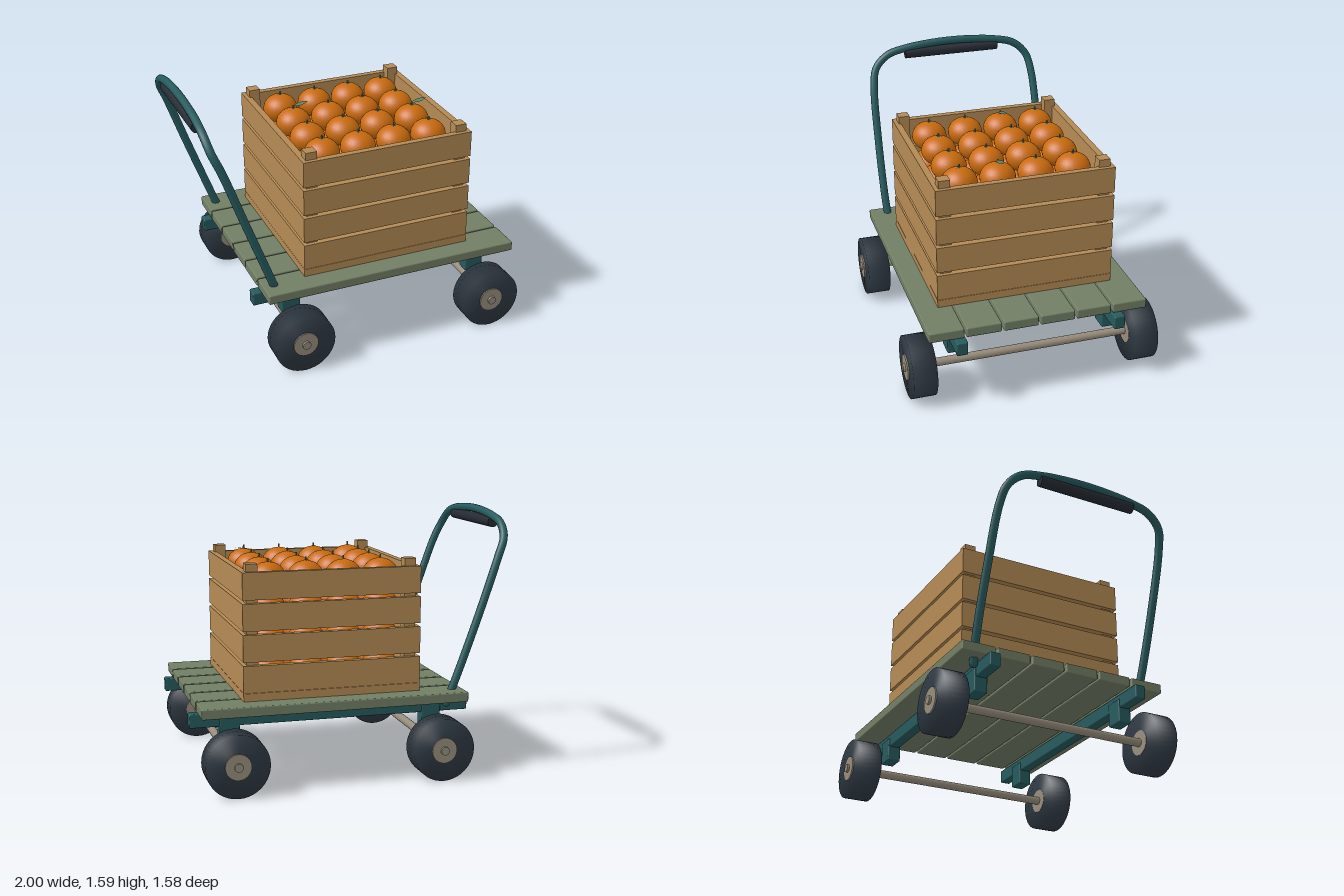
import * as THREE from 'three';
import { RoundedBoxGeometry } from 'three/addons/geometries/RoundedBoxGeometry.js';

const mat = (name, color, side = THREE.FrontSide) => {
  const m = new THREE.MeshStandardMaterial({ color, side });
  m.name = name;
  return m;
};

export function createModel() {
  const model = new THREE.Group();
  model.name = 'fruitCart';

  const wood = mat('crate wood', 0xb48a54);
  const deckPaint = mat('sage deck', 0x727e65);
  const teal = mat('teal frame', 0x265a5e);
  const rubber = mat('tyre rubber', 0x2d3741);
  const gripRubber = mat('grip rubber', 0x262b33);
  const steel = mat('axle steel', 0x978c7c);
  const peel = mat('orange peel', 0xc96b0e);
  const green = mat('leaf green', 0x5f7f68, THREE.DoubleSide);

  const group = (name, parent = model) => {
    const g = new THREE.Group();
    g.name = name;
    parent.add(g);
    return g;
  };
  const add = (parent, name, geo, material, x = 0, y = 0, z = 0) => {
    const m = new THREE.Mesh(geo, material);
    m.name = name;
    m.position.set(x, y, z);
    parent.add(m);
    return m;
  };
  // box given by its minimum and maximum on each axis
  const box = (parent, name, material, [x0, x1], [y0, y1], [z0, z1], round = 0) => {
    const s = [x1 - x0, y1 - y0, z1 - z0];
    const geo = round ? new RoundedBoxGeometry(...s, 2, round) : new THREE.BoxGeometry(...s);
    return add(parent, name, geo, material, (x0 + x1) / 2, (y0 + y1) / 2, (z0 + z1) / 2);
  };
  const mirrored = (s, a, b) => (s > 0 ? [a, b] : [-b, -a]);

  // Deck planks running lengthwise
  const deck = group('deck');
  for (let i = 0; i < 6; i++) {
    const z = (i - 2.5) * 0.2255;
    box(deck, 'plank', deckPaint, [-0.685, 0.945], [0.457, 0.518], [z - 0.106, z + 0.106], 0.008);
  }

  // Frame rails with an axle bracket above each wheel
  const axleXs = [-0.497, 0.757];
  const frame = group('frame');
  for (const s of [-1, 1]) {
    box(frame, 'rail', teal, [-0.735, 0.995], [0.372, 0.457], mirrored(s, 0.45, 0.518), 0.008);
    for (const x of axleXs)
      box(frame, 'axleBracket', teal, [x - 0.06, x + 0.06], [0.28, 0.428], mirrored(s, 0.443, 0.527), 0.008);
  }

  // Axles, tyres and hubs
  const axleY = 0.194;
  const tyreGeo = new THREE.LatheGeometry(
    [[0, -0.0725], [0.19, -0.0725], [0.19, 0.0725], [0, 0.0725]].map(p => new THREE.Vector2(...p)), 40);
  const hubGeo = new THREE.CylinderGeometry(0.078, 0.078, 0.156, 24);
  const axleGeo = new THREE.CylinderGeometry(0.026, 0.026, 1.576, 16);
  for (const x of axleXs) {
    const wheels = group('axleWithWheels');
    wheels.position.set(x, axleY, 0);
    add(wheels, 'axle', axleGeo, steel).rotation.x = Math.PI / 2;
    for (const s of [-1, 1]) {
      add(wheels, 'tyre', tyreGeo, rubber, 0, 0, s * 0.6925).rotation.x = Math.PI / 2;
      add(wheels, 'hub', hubGeo, steel, 0, 0, s * 0.696).rotation.x = Math.PI / 2;
    }
  }

  // Push handle: half path mirrored across the middle
  const half = [
    [-0.585, 0.43, 0.55], [-0.64, 0.58, 0.562], [-0.785, 0.98, 0.565], [-0.905, 1.32, 0.553],
    [-0.95, 1.43, 0.525], [-0.966, 1.51, 0.44], [-0.966, 1.548, 0.3], [-0.966, 1.566, 0.13],
  ].map(p => new THREE.Vector3(...p));
  const path = new THREE.CatmullRomCurve3([
    ...half, new THREE.Vector3(-0.966, 1.57, 0),
    ...half.map(p => new THREE.Vector3(p.x, p.y, -p.z)).reverse(),
  ]);
  const handle = group('handle');
  add(handle, 'handleTube', new THREE.TubeGeometry(path, 120, 0.025, 14), teal);
  for (const p of [half[0], path.getPoint(1)])
    add(handle, 'tubeEnd', new THREE.SphereGeometry(0.025, 14, 10), teal, p.x, p.y, p.z);
  add(handle, 'grip', new THREE.CylinderGeometry(0.034, 0.034, 0.64, 20), gripRubber, -0.966, 1.509, 0)
    .rotation.x = Math.PI / 2;

  // Slatted crate: floor, four slats per side and corner posts
  const crate = group('crate');
  crate.position.x = 0.131;
  const hw = 0.545, thick = 0.04;
  box(crate, 'crateFloor', wood, [-hw, hw], [0.518, 0.566], [-hw, hw]);
  for (const s of [-1, 1]) {
    for (let i = 0; i < 4; i++) {
      const y = 0.568 + i * 0.1835;
      box(crate, 'longSlat', wood, [-hw, hw], [y, y + 0.162], mirrored(s, hw - thick, hw));
      box(crate, 'endSlat', wood, mirrored(s, hw - thick, hw), [y, y + 0.162], [thick - hw, hw - thick]);
    }
    for (const t of [-1, 1])
      box(crate, 'cornerPost', wood, mirrored(s, 0.45, 0.52), [0.566, 1.327], mirrored(t, 0.45, 0.52));
  }

  // Stacked oranges, slightly flattened
  const fruit = group('oranges', crate);
  const orangeGeo = new THREE.SphereGeometry(0.108, 24, 16).scale(1, 0.84, 1);
  const stemGeo = new THREE.CylinderGeometry(0.005, 0.006, 0.026, 6);
  // five-pointed calyx
  const star = new THREE.Shape(Array.from({ length: 10 }, (_, i) => {
    const r = i % 2 ? 0.008 : 0.023, a = i * Math.PI / 5;
    return new THREE.Vector2(r * Math.cos(a), r * Math.sin(a));
  }));
  const starGeo = new THREE.ShapeGeometry(star).rotateX(-Math.PI / 2);
  // pointed leaf, rising slightly towards its tip
  const leafShape = new THREE.Shape();
  leafShape.moveTo(0, 0);
  leafShape.quadraticCurveTo(0.045, 0.045, 0.1, 0);
  leafShape.quadraticCurveTo(0.045, -0.045, 0, 0);
  const leafGeo = new THREE.ShapeGeometry(leafShape, 6).rotateX(-Math.PI / 2).rotateZ(0.18);

  const step = 0.2335;
  for (let layer = 0; layer < 4; layer++)
    for (let i = 0; i < 4; i++)
      for (let k = 0; k < 4; k++) {
        const x = (i - 1.5) * step, z = (k - 1.5) * step, y = 0.659 + layer * 0.188;
        add(fruit, 'orange', orangeGeo, peel, x, y, z);
        if (layer < 3) continue;
        add(fruit, 'stem', stemGeo, green, x, y + 0.1, z);
        add(fruit, 'calyx', starGeo, green, x, y + 0.0925, z);
        if ((i === 0 && k === 1) || (i === 3 && k === 2))
          add(fruit, 'leaf', leafGeo, green, x, y + 0.108, z);
      }

  return model;
}
